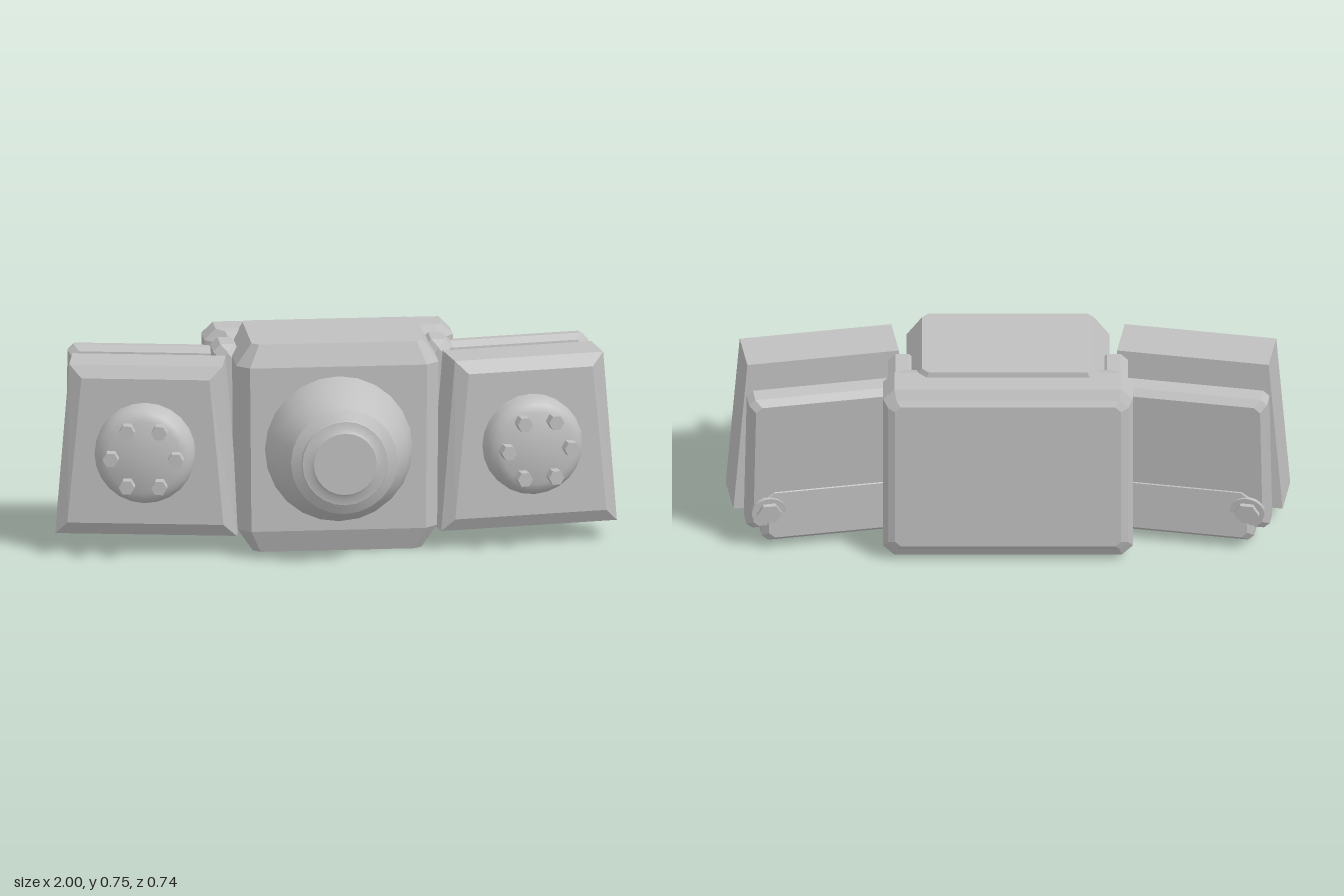
import * as THREE from 'three';
import { toCreasedNormals } from 'three/addons/utils/BufferGeometryUtils.js';

const metal = new THREE.MeshStandardMaterial({ color: 0xc0c0c0 });
metal.name = 'light grey metal';

// Joins rings of [x, y] points placed at rising z, with closed ends and hard edges
function loft(rings) {
  const pos = [];
  const n = rings[0].pts.length;
  const put = (r, i) => pos.push(...rings[r].pts[i % n], rings[r].z);
  for (let r = 0; r < rings.length - 1; r++) {
    for (let i = 0; i < n; i++) {
      put(r, i); put(r, i + 1); put(r + 1, i + 1);
      put(r, i); put(r + 1, i + 1); put(r + 1, i);
    }
  }
  const last = rings.length - 1;
  for (let i = 1; i < n - 1; i++) {
    put(0, 0); put(0, i + 1); put(0, i);
    put(last, 0); put(last, i); put(last, i + 1);
  }
  const geo = new THREE.BufferGeometry();
  geo.setAttribute('position', new THREE.Float32BufferAttribute(pos, 3));
  geo.computeVertexNormals();
  return geo;
}

// Rectangle with cut corners, counter-clockwise
function octagon(z, hx, y0, y1, c) {
  return { z, pts: [
    [-hx + c, y0], [hx - c, y0], [hx, y0 + c], [hx, y1 - c],
    [hx - c, y1], [-hx + c, y1], [-hx, y1 - c], [-hx, y0 + c],
  ] };
}

// Box with bevelled edges all round
function bevelBox(w, h, d, b) {
  const ring = (z, inset) => octagon(z, w / 2 - inset, -h / 2 + inset, h / 2 - inset, b);
  return loft([ring(-d / 2, b), ring(-d / 2 + b, 0), ring(d / 2 - b, 0), ring(d / 2, b)]);
}

// Round part turned about z from [radius, z] points
function turned(profile, sides) {
  const geo = new THREE.LatheGeometry(profile.map(([r, z]) => new THREE.Vector2(r, z)), sides);
  return toCreasedNormals(geo.rotateX(Math.PI / 2), 0.5);
}

function disc(radius, z0, z1, sides) {
  const geo = new THREE.CylinderGeometry(radius, radius, z1 - z0, sides);
  geo.rotateZ(0).rotateY(Math.PI / 6).rotateX(Math.PI / 2).translate(0, 0, (z0 + z1) / 2);
  return toCreasedNormals(geo, 0.6);
}

function add(parent, name, geo, x = 0, y = 0, z = 0) {
  const mesh = new THREE.Mesh(geo, metal);
  mesh.name = name;
  mesh.position.set(x, y, z);
  parent.add(mesh);
  return mesh;
}

function buildSide(s) {
  const side = new THREE.Group();
  side.name = s > 0 ? 'leftSide' : 'rightSide';
  const yaw = s * 0.165;

  // Front panel: a trapezoid with a bevelled face, swept back at the outer end
  const trapezoid = (z, inset) => ({ z, pts: [
    [-0.322 + inset, -0.308 + inset], [0.322 - inset, -0.308 + inset],
    [0.272 - inset, 0.308 - inset], [-0.272 + inset, 0.308 - inset],
  ] });
  const front = new THREE.Group();
  front.name = 'frontPanelAssembly';
  front.position.set(s * 0.67, 0.378, 0.018);
  front.rotation.y = yaw;
  side.add(front);
  add(front, 'frontPanel', loft([trapezoid(-0.095, 0), trapezoid(0.07, 0), trapezoid(0.095, 0.045)]));

  // Round cover with a ring of six hexagonal bolts
  add(front, 'roundCover', turned([
    [0, 0.08], [0.178, 0.08], [0.178, 0.135], [0.172, 0.158], [0.156, 0.178], [0.13, 0.19], [0, 0.19],
  ], 24));
  for (let i = 0; i < 6; i++) {
    const a = i * Math.PI / 3;
    add(front, 'coverBolt', disc(0.028, 0.18, 0.235, 6), Math.cos(a) * 0.115, Math.sin(a) * 0.115, 0);
  }

  // Rear panel: swept back and leaning backwards at the top
  const rear = new THREE.Group();
  rear.name = 'rearPanelAssembly';
  rear.position.set(s * 0.64, 0.38, -0.22);
  rear.rotation.set(-0.11, yaw, 0, 'YXZ');
  side.add(rear);
  add(rear, 'rearPanel', bevelBox(0.58, 0.6, 0.095, 0.022));
  add(rear, 'rearWasher', disc(0.062, -0.06, -0.03, 16), s * 0.215, -0.205, 0);
  add(rear, 'rearBolt', disc(0.045, -0.075, -0.05, 6), s * 0.215, -0.205, 0);

  // Lower block, middle spacer and stepped peg between the panels
  add(side, 'lowerBlock', bevelBox(0.52, 0.235, 0.1, 0.022), s * 0.62, 0.153, -0.203).rotation.y = yaw;
  add(side, 'spacer', bevelBox(0.48, 0.2, 0.075, 0.012), s * 0.62, 0.38, -0.13).rotation.y = yaw;
  const peg = add(side, 'peg', turned([
    [0, -0.05], [0.08, -0.05], [0.08, 0.018], [0.07, 0.03], [0.046, 0.03], [0.046, 0.06], [0, 0.06],
  ], 20), s * 0.825, 0.54, -0.212);
  peg.rotation.y = yaw;

  // Upright lug joining the core to the back plate
  add(side, 'lug', bevelBox(0.1, 0.67, 0.16, 0.026), s * 0.375, 0.378, -0.145);
  return side;
}

export function createModel() {
  const model = new THREE.Group();
  model.name = 'lampHousing';

  // Central core, lofted upwards with tapered top and bottom
  const core = loft([
    octagon(0, 0.3, -0.1, 0.265, 0.025),
    octagon(0.08, 0.355, -0.128, 0.272, 0.045),
    octagon(0.675, 0.36, -0.128, 0.272, 0.045),
    octagon(0.755, 0.305, -0.1, 0.265, 0.025),
  ]).rotateX(-Math.PI / 2);
  add(model, 'core', core);

  // Domed lamp with a stepped lens
  add(model, 'lamp', turned([
    [0, 0.1], [0.262, 0.1], [0.262, 0.145], [0.235, 0.25], [0.19, 0.335], [0.155, 0.352],
    [0.152, 0.361], [0.125, 0.364], [0.112, 0.372], [0, 0.372],
  ], 24), 0, 0.378, 0);

  // Back plate with bevelled rim
  add(model, 'backPlate', loft([
    octagon(-0.372, 0.4, -0.3, 0.3, 0.02),
    octagon(-0.36, 0.425, -0.32, 0.32, 0.03),
    octagon(-0.342, 0.442, -0.357, 0.357, 0.04),
    octagon(-0.235, 0.442, -0.357, 0.357, 0.04),
    octagon(-0.215, 0.41, -0.352, 0.352, 0.04),
    octagon(-0.19, 0.38, -0.31, 0.31, 0.03),
  ]), 0, 0.378, 0);

  model.add(buildSide(1), buildSide(-1));
  return model;
}
